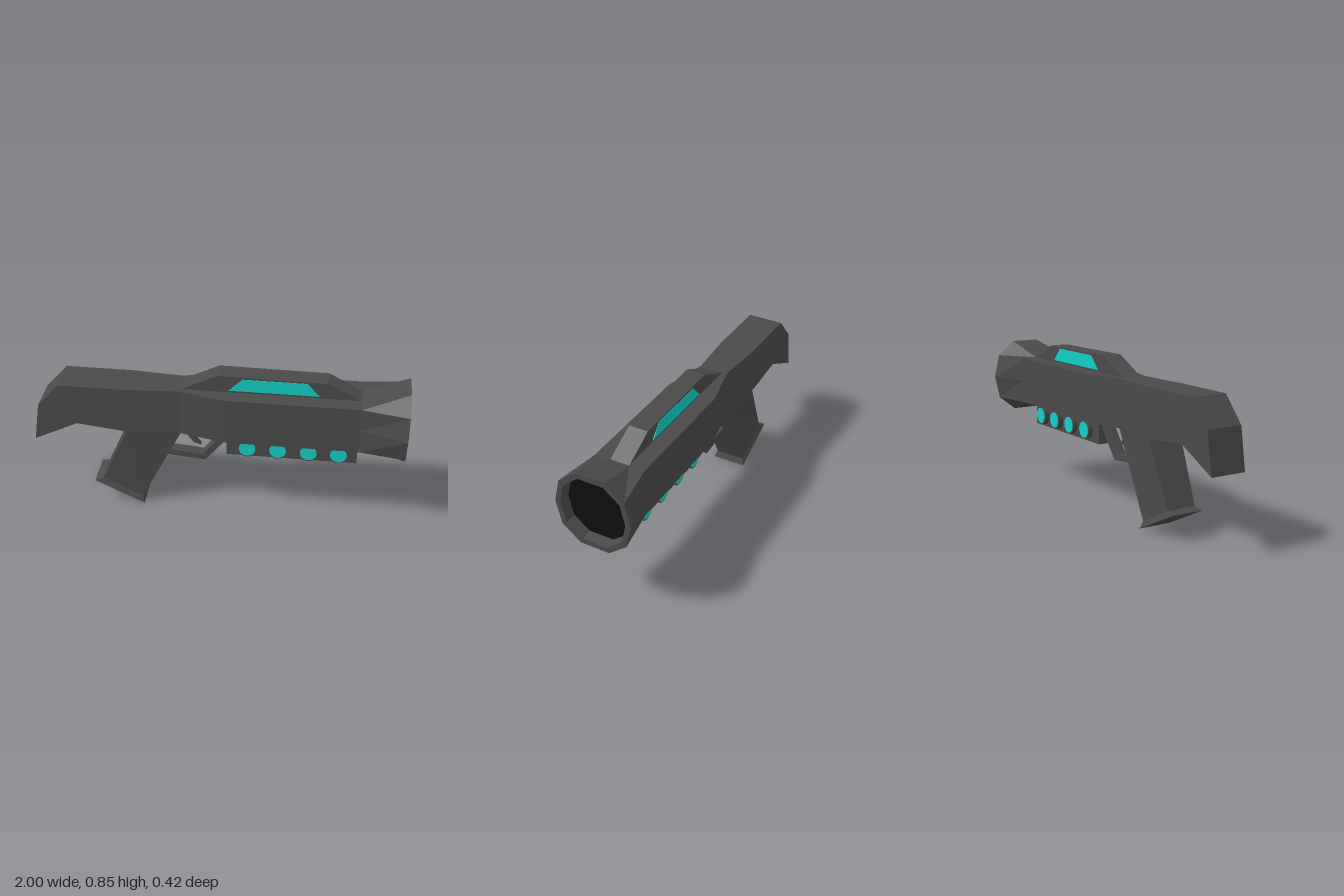
import * as THREE from 'three';

const dark = new THREE.MeshStandardMaterial({ color: 0x4a4a4a, flatShading: true });
const black = new THREE.MeshStandardMaterial({ color: 0x0e0e0e, flatShading: true });
const cyan = new THREE.MeshStandardMaterial({ color: 0x14d0c8, flatShading: true });

// Flat-faced skin through a list of rings (each an array of [x, y, z])
function loft(rings, capStart, capEnd) {
  const pos = [];
  const tri = (a, b, c) => pos.push(...a, ...b, ...c);
  const n = rings[0].length;
  for (let i = 0; i < rings.length - 1; i++) {
    const a = rings[i], b = rings[i + 1];
    for (let j = 0; j < n; j++) {
      const k = (j + 1) % n;
      tri(a[j], b[j], b[k]);
      tri(a[j], b[k], a[k]);
    }
  }
  const first = rings[0], last = rings[rings.length - 1];
  for (let j = 1; j < n - 1; j++) {
    if (capStart) tri(first[0], first[j], first[j + 1]);
    if (capEnd) tri(last[0], last[j + 1], last[j]);
  }
  const g = new THREE.BufferGeometry();
  g.setAttribute('position', new THREE.Float32BufferAttribute(pos, 3));
  g.computeVertexNormals();
  return g;
}

// Side profile in x/y, extruded evenly about z = 0
function slab(points, halfWidth) {
  const shape = new THREE.Shape(points.map(([x, y]) => new THREE.Vector2(x, y)));
  const g = new THREE.ExtrudeGeometry(shape, { depth: halfWidth * 2, bevelEnabled: false });
  return g.translate(0, 0, -halfWidth);
}

// Ten-point box section: bottom and top may sit at different x
function boxRing([xb, yb, xt, yt, w]) {
  const xm = (xb + xt) / 2, ym = (yb + yt) / 2, t = w * 0.4;
  return [[xm, ym, w], [xt, yt, w], [xt, yt, t], [xt, yt, -t], [xt, yt, -w],
    [xm, ym, -w], [xb, yb, -w], [xb, yb, -t], [xb, yb, t], [xb, yb, w]];
}

// Ten-sided muzzle section
function muzzleRing(x, s) {
  const quarter = [[0.21, 0], [0.18, 0.13], [0.08, 0.21]].map(([z, y]) => [z * s, y * s]);
  const [a, b, c] = quarter, y0 = 0.62;
  return [a, b, c, [-c[0], c[1]], [-b[0], b[1]], [-a[0], 0], [-b[0], -b[1]],
    [-c[0], -c[1]], [c[0], -c[1]], [b[0], -b[1]]].map(([z, y]) => [x, y0 + y, z]);
}

export function createModel() {
  const model = new THREE.Group();
  const add = (name, geometry, material = dark, parent = model) => {
    const mesh = new THREE.Mesh(geometry, material);
    mesh.name = name;
    parent.add(mesh);
    return mesh;
  };

  // Stock, waist and barrel housing flaring into the muzzle and its recess
  const stations = [
    [-1, 0.40, -0.965, 0.62, 0.1],
    [-0.76, 0.52, -0.845, 0.755, 0.1],
    [-0.5, 0.49, -0.48, 0.755, 0.1],
    [-0.2, 0.49, -0.2, 0.755, 0.08],
    [0.05, 0.49, 0.05, 0.755, 0.138],
    [0.755, 0.49, 0.755, 0.755, 0.138],
  ].map(boxRing);
  add('body', loft([...stations, muzzleRing(1, 1), muzzleRing(1, 0.86), muzzleRing(0.94, 0.84)], true, false));
  add('bore', loft([muzzleRing(0.94, 0.84), muzzleRing(0.935, 0.84)], false, true), black);

  // Grip with flared foot: back x, y, half width, then front x, y, half width
  const gripRings = [
    [-0.685, 0.135, 0.097, -0.41, 0, 0.097],
    [-0.64, 0.15, 0.083, -0.42, 0.04, 0.081],
    [-0.485, 0.5, 0.099, -0.19, 0.5, 0.08],
  ].map(([xb, yb, wb, xf, yf, wf]) => [[xf, yf, wf], [xb, yb, wb], [xb, yb, -wb], [xf, yf, -wf]]);
  add('grip', loft(gripRings, true, true));

  // Trigger and its guard
  add('triggerGuard', slab([[-0.3, 0.31], [-0.07, 0.288], [0.06, 0.45], [0.06, 0.505],
    [-0.085, 0.322], [-0.285, 0.342]], 0.031));
  add('trigger', slab([[-0.19, 0.5], [-0.165, 0.43], [-0.135, 0.39], [-0.095, 0.375],
    [-0.125, 0.41], [-0.145, 0.45], [-0.15, 0.5]], 0.015));

  // Raised top cover with a glowing panel on each side
  add('topCover', slab([[-0.2, 0.75], [0.76, 0.75], [0.575, 0.845], [0, 0.85]], 0.053));
  add('coverPanels', slab([[0.06, 0.765], [0.535, 0.765], [0.47, 0.838], [0.13, 0.838]], 0.055), cyan);

  // Underslung rail with four round lights per side
  const rail = new THREE.Group();
  rail.name = 'lightRail';
  model.add(rail);
  add('railBlock', new THREE.BoxGeometry(0.705, 0.14, 0.11).translate(0.4025, 0.425, 0), dark, rail);
  for (const x of [0.165, 0.33, 0.495, 0.655]) {
    const housing = add('lightHousing', new THREE.CylinderGeometry(0.053, 0.053, 0.164, 20), dark, rail);
    const lens = add('lightLens', new THREE.CylinderGeometry(0.045, 0.045, 0.17, 20), cyan, rail);
    for (const part of [housing, lens]) {
      part.rotation.x = Math.PI / 2;
      part.position.set(x, 0.42, 0);
    }
  }
  return model;
}
